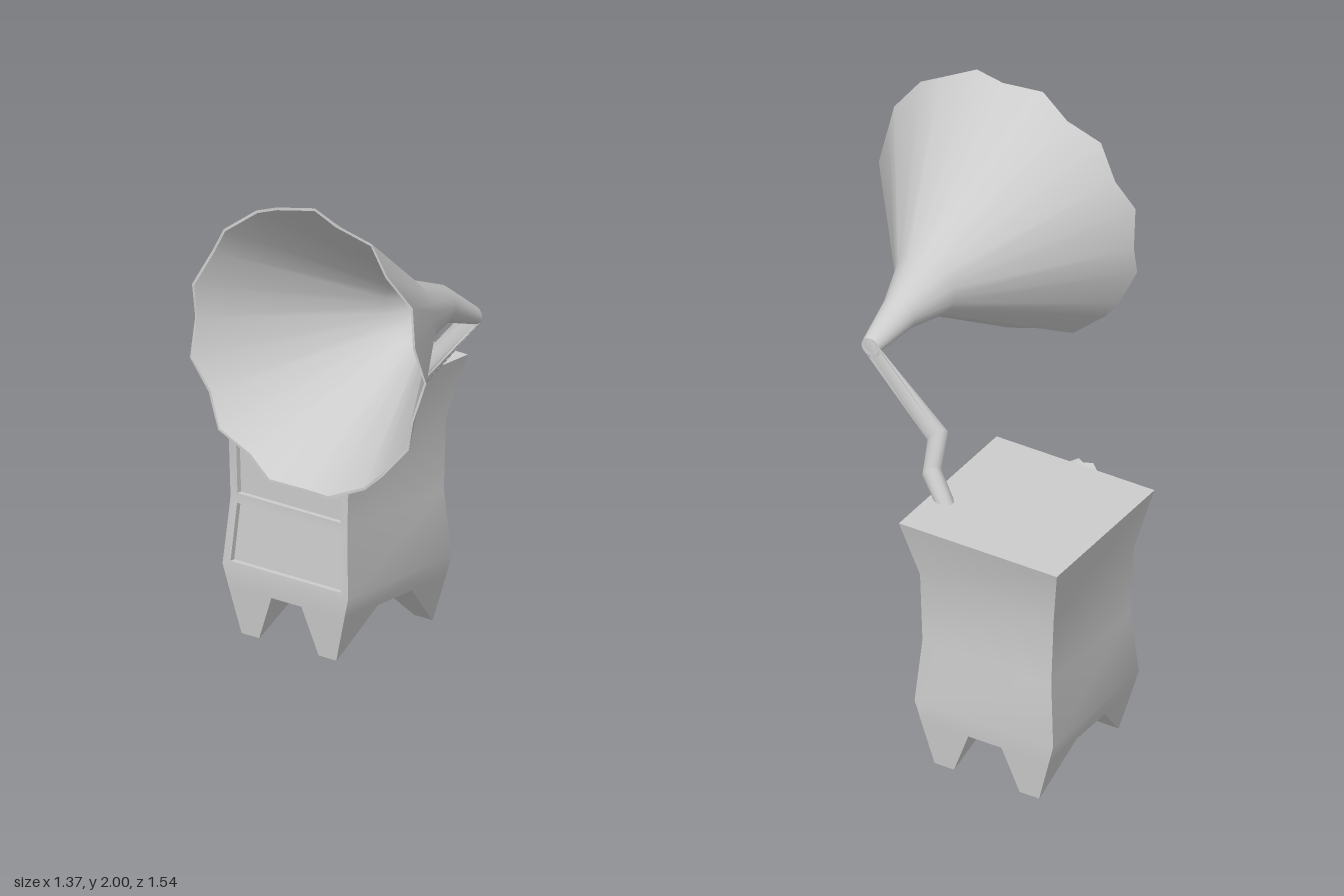
import * as THREE from 'three';
import { toCreasedNormals } from 'three/addons/utils/BufferGeometryUtils.js';

const V = (x, y, z) => new THREE.Vector3(x, y, z);
const material = new THREE.MeshStandardMaterial({ color: 0xcccccc, side: THREE.DoubleSide });

// Collects four-cornered faces, corners counter-clockwise seen from outside
function faceBuilder() {
  const pos = [];
  return {
    quad(a, b, c, d) {
      for (const p of [a, b, c, a, c, d]) pos.push(p.x, p.y, p.z);
    },
    mesh(name, crease) {
      const g = new THREE.BufferGeometry();
      g.setAttribute('position', new THREE.Float32BufferAttribute(pos, 3));
      const m = new THREE.Mesh(toCreasedNormals(g, crease), material);
      m.name = name;
      return m;
    },
  };
}

// Skin over round sections { c: centre, r: radius, n: axis, wave: scallop depth }
function loft(name, sections, sides, crease) {
  const u = V(0, 1, 0), axis = V(1, 0, 0), turn = new THREE.Quaternion();
  const rings = sections.map(({ c, r, n = V(1, 0, 0), wave = 0 }) => {
    n = n.clone().normalize();
    u.applyQuaternion(turn.setFromUnitVectors(axis, n));
    axis.copy(n);
    const v = n.clone().cross(u);
    return Array.from({ length: sides }, (_, i) => {
      const a = (i / sides) * Math.PI * 2;
      return c.clone().addScaledVector(u, r * Math.cos(a)).addScaledVector(v, r * Math.sin(a))
        .addScaledVector(n, i % 2 ? -wave : 0);
    });
  });
  const f = faceBuilder();
  for (let k = 0; k + 1 < rings.length; k++)
    for (let i = 0; i < sides; i++) {
      const j = (i + 1) % sides;
      f.quad(rings[k][i], rings[k][j], rings[k + 1][j], rings[k + 1][i]);
    }
  return f.mesh(name, crease);
}

// Thin-walled horn: inner skin out to the mouth, then outer skin back to the throat
function horn(name, sections, wall) {
  const inner = sections.map((s) => ({ ...s, r: s.r - wall })).reverse();
  return loft(name, [...inner, ...sections], 24, 0.7);
}

// Level rectangle, counter-clockwise from above
function rect(y, xa, xb, za, zb) {
  const x0 = Math.min(xa, xb), x1 = Math.max(xa, xb);
  const z0 = Math.min(za, zb), z1 = Math.max(za, zb);
  return [V(x1, y, z1), V(x1, y, z0), V(x0, y, z0), V(x0, y, z1)];
}

function cabinet() {
  const group = new THREE.Group();
  group.name = 'cabinet';
  group.position.set(0.355, 0, -0.445);

  // Waisted body: height, half width, half depth, recess depth of the panel above
  const levels = [
    [0.17, 0.279, 0.263, 0], [0.25, 0.285, 0.285, 0.02], [0.5, 0.265, 0.265, 0.02],
    [0.77, 0.265, 0.275, 0.22], [1, 0.325, 0.325, 0],
  ];
  const rings = levels.map(([y, w, d]) => rect(y, -w, w, -d, d));
  const body = faceBuilder();
  for (let k = 0; k + 1 < rings.length; k++) {
    const L = rings[k], U = rings[k + 1], depth = levels[k][3];
    for (let i = 0; i < 4; i++) {
      const j = (i + 1) % 4;
      const o = [L[i], L[j], U[j], U[i]];
      if (i !== 2 || !depth) {
        body.quad(...o);
        continue;
      }
      // Framed recess on the drawer side
      const at = (s, t) => o[0].clone().lerp(o[1], s).lerp(o[3].clone().lerp(o[2], s), t);
      const p = [at(0.06, 0.07), at(0.94, 0.07), at(0.94, 0.93), at(0.06, 0.93)];
      const b = p.map((q) => q.clone().add(V(depth, 0, 0)));
      for (let e = 0; e < 4; e++) {
        const f = (e + 1) % 4;
        body.quad(o[e], o[f], p[f], p[e]);
        body.quad(p[e], p[f], b[f], b[e]);
      }
      body.quad(...b);
    }
  }
  body.quad(...rings[4]);
  body.quad(...[...rings[0]].reverse());
  group.add(body.mesh('cabinetBody', 0.6));

  // Wedge legs, narrowing to a thin foot
  for (const sx of [-1, 1])
    for (const sz of [-1, 1]) {
      const U = rect(0.17, sx * 0.279, sx * 0.093, sz * 0.263, sz * 0.068);
      const L = rect(0, sx * 0.265, sx * 0.26, sz * 0.215, sz * 0.135);
      const leg = faceBuilder();
      for (let i = 0; i < 4; i++) {
        const j = (i + 1) % 4;
        leg.quad(L[i], L[j], U[j], U[i]);
      }
      leg.quad(...[...L].reverse());
      group.add(leg.mesh('leg', 0.3));
    }
  return group;
}

export function createModel() {
  const model = new THREE.Group();
  model.name = 'gramophone';
  model.add(cabinet());

  // Large horn with scalloped, slightly upturned mouth
  model.add(horn('horn', [
    { c: V(-0.62, 1.478, 0.242), r: 0.525, n: V(1, -0.04, 0), wave: 0.045 },
    { c: V(-0.07, 1.455, 0.235), r: 0.125, n: V(1, -0.04, 0) },
    { c: V(0.11, 1.44, 0.232), r: 0.068, n: V(1, -0.1, 0.05) },
    { c: V(0.25, 1.365, 0.265), r: 0.035 },
  ], 0.01));

  // Bent tone arm from the horn throat down to the cabinet top
  model.add(loft('toneArm', [
    { c: V(0.25, 1.365, 0.265), r: 0.035 },
    { c: V(0.21, 1.057, 0.01), r: 0.04, n: V(0.78, -0.67, -1.09) },
    { c: V(0.457, 1.085, -0.118), r: 0.036, n: V(0.95, -0.6, -1.1) },
    { c: V(0.475, 0.98, -0.19), r: 0.032, n: V(0.2, -0.8, -0.55) },
  ], 12, 0.7));

  // Small horn in the upper compartment
  model.add(horn('smallHorn', [
    { c: V(-0.012, 0.872, -0.453), r: 0.113, n: V(1, -0.04, 0), wave: 0.02 },
    { c: V(0.09, 0.872, -0.453), r: 0.095 },
    { c: V(0.2, 0.87, -0.45), r: 0.05 },
    { c: V(0.31, 0.87, -0.45), r: 0.03 },
  ], 0.006));
  return model;
}
